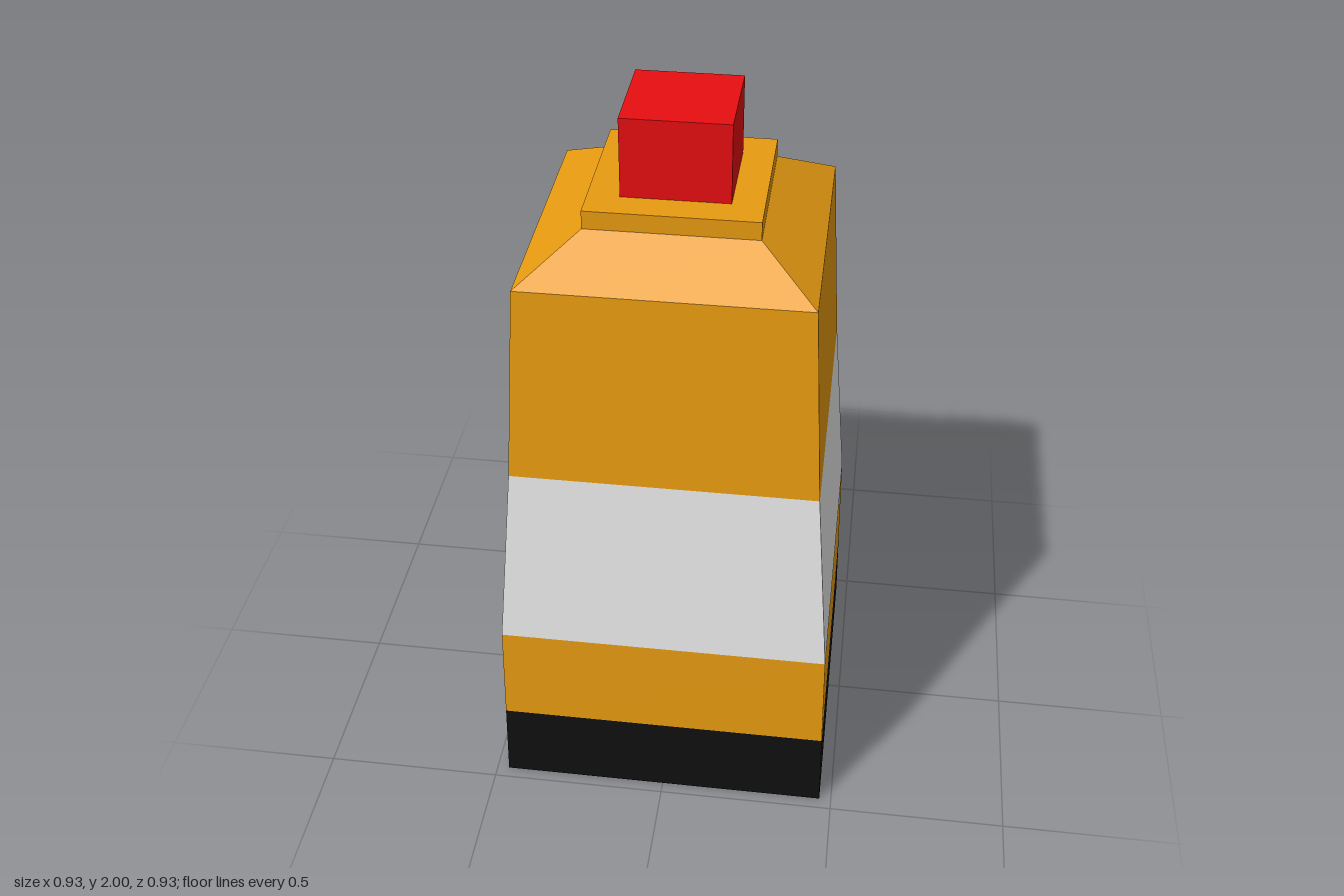
import * as THREE from 'three';

const paint = (name, color) => {
  const m = new THREE.MeshStandardMaterial({ color });
  m.name = name;
  return m;
};

// Square tapered block from half-width `bottom` at y0 to half-width `top` at y1
function squareFrustum(bottom, top, y0, y1, open) {
  const g = new THREE.CylinderGeometry(top * Math.SQRT2, bottom * Math.SQRT2, y1 - y0, 4, 1, open)
    .rotateY(Math.PI / 4)
    .translate(0, (y0 + y1) / 2, 0)
    .toNonIndexed();
  g.computeVertexNormals(); // crisp facets
  return g;
}

export function createModel() {
  const black = paint('black', 0x0f0f0f);
  const amber = paint('amber', 0xefa011);
  const white = paint('white', 0xf2f2f2);
  const red = paint('red', 0xec0e12);

  // name, material, bottom half-width, top half-width, y0, y1, open-ended
  const parts = [
    ['base', black, 0.466, 0.461, 0, 0.24, false],
    ['lowerBody', amber, 0.461, 0.455, 0.24, 0.54, true],
    ['whiteBand', white, 0.455, 0.411, 0.54, 1.08, true],
    ['upperBody', amber, 0.411, 0.378, 1.08, 1.635, true],
    ['slopedShoulder', amber, 0.378, 0.225, 1.635, 1.735, true],
    ['collar', amber, 0.225, 0.225, 1.735, 1.785, false],
    ['lamp', red, 0.141, 0.141, 1.785, 2, false],
  ];

  const group = new THREE.Group();
  group.name = 'bollard';
  for (const [name, material, bottom, top, y0, y1, open] of parts) {
    const mesh = new THREE.Mesh(squareFrustum(bottom, top, y0, y1, open), material);
    mesh.name = name;
    group.add(mesh);
  }
  return group;
}
